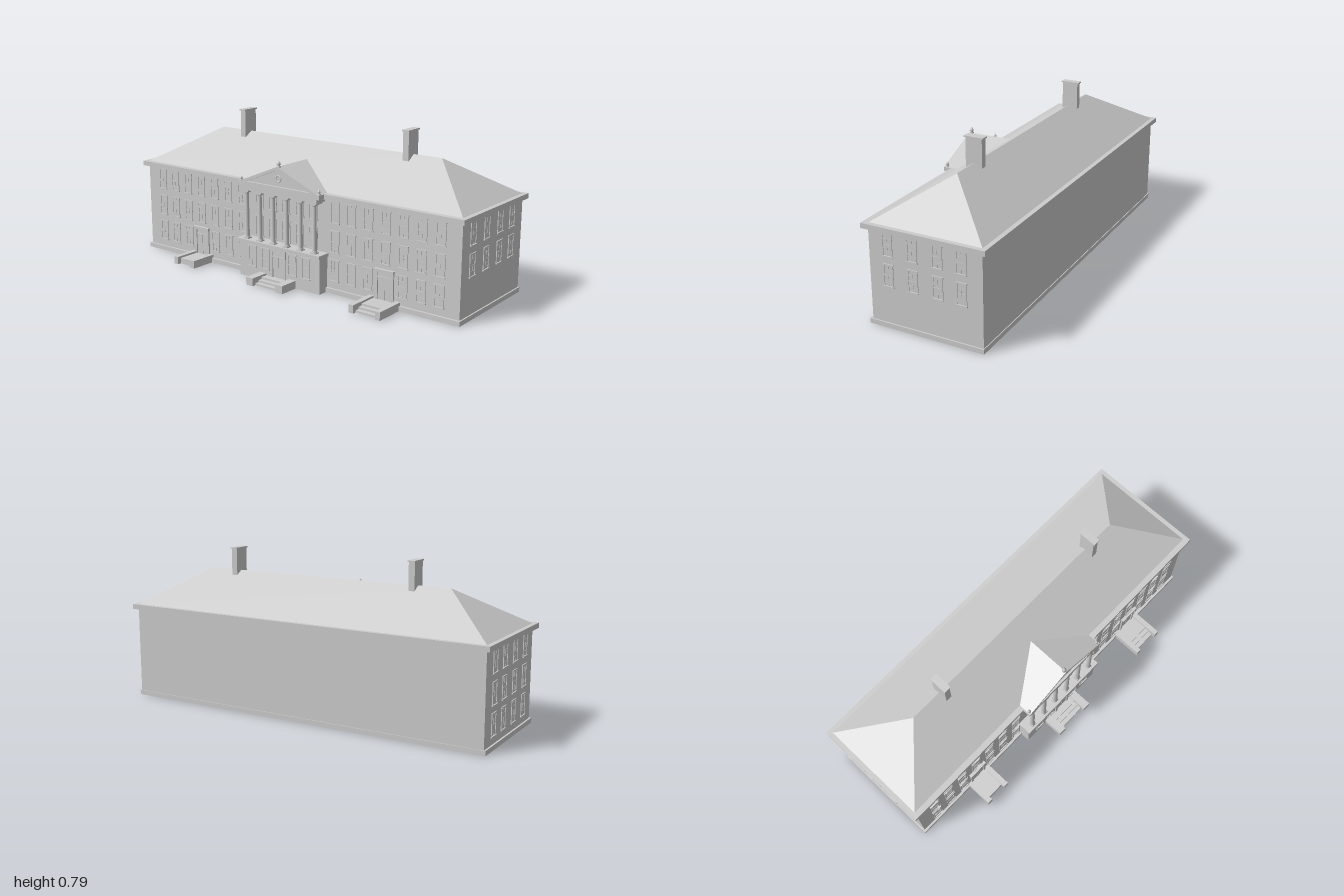
import * as THREE from 'three';

const material = new THREE.MeshStandardMaterial({ color: 0xcccccc, flatShading: true });
const smooth = new THREE.MeshStandardMaterial({ color: 0xcccccc });

function add(parent, name, geometry, mat = material) {
  const mesh = new THREE.Mesh(geometry, mat);
  mesh.name = name;
  parent.add(mesh);
  return mesh;
}

// Box given by its limits on each axis
function box(parent, name, x0, x1, y0, y1, z0, z1) {
  const mesh = add(parent, name, new THREE.BoxGeometry(x1 - x0, y1 - y0, z1 - z0));
  mesh.position.set((x0 + x1) / 2, (y0 + y1) / 2, (z0 + z1) / 2);
  return mesh;
}

function group(parent, name) {
  const g = new THREE.Group();
  g.name = name;
  parent.add(g);
  return g;
}

// Sash window facing +z, centred on its wall position
function addWindow(parent, x, y, z, turn = 0, w = 0.052, h = 0.112) {
  const g = group(parent, 'window');
  const a = w / 2, b = h / 2, t = 0.006;
  box(g, 'pane', -a, a, -b, b, -0.002, 0.001);
  for (const s of [-1, 1]) {
    box(g, 'jamb', s * (a - t / 2) - t / 2, s * (a - t / 2) + t / 2, -b, b, -0.002, 0.004);
  }
  box(g, 'lintel', -a - 0.002, a + 0.002, b - 0.007, b, -0.002, 0.005);
  box(g, 'sill', -a - 0.003, a + 0.003, -b, -b + 0.006, -0.002, 0.007);
  box(g, 'meetingRail', -a, a, -0.002, 0.002, -0.002, 0.003);
  box(g, 'muntin', -0.001, 0.001, -b, b, -0.002, 0.002);
  for (const s of [-0.5, 0.5]) box(g, 'glazingBar', -a, a, s * b - 0.001, s * b + 0.001, -0.002, 0.002);
  g.position.set(x, y, z);
  g.rotation.y = turn;
}

// Door with frame, panels and a flat hood
function addDoor(parent, x, z, w, y0, y1) {
  const g = group(parent, 'door');
  const a = w / 2, t = 0.012;
  box(g, 'doorLeaf', -a, a, y0, y1, -0.005, 0.002);
  for (const s of [-1, 1]) {
    box(g, 'doorJamb', s * (a - t / 2) - t / 2, s * (a - t / 2) + t / 2, y0, y1, -0.005, 0.008);
  }
  box(g, 'doorHead', -a, a, y1 - 0.016, y1 - 0.006, -0.005, 0.01);
  box(g, 'doorHood', -a - 0.004, a + 0.004, y1 - 0.006, y1, -0.005, 0.016);
  box(g, 'transom', -a, a, y1 - 0.044, y1 - 0.038, -0.005, 0.006);
  box(g, 'doorSplit', -0.002, 0.002, y0, y1 - 0.04, -0.005, 0.004);
  g.position.set(x, 0, z);
}

// Entrance steps between two low cheek walls
function addSteps(parent, x0, x1, cheek, back, front, treads) {
  const g = group(parent, 'entranceSteps');
  box(g, 'cheekWall', x0, x0 + cheek, 0, 0.04, back, front);
  box(g, 'cheekWall', x1 - cheek, x1, 0, 0.04, back, front);
  for (let i = 0; i < treads; i++) {
    box(g, 'tread', x0 + cheek, x1 - cheek, 0, 0.03 * (treads - i) / treads, back, front - 0.02 - 0.024 * (treads - 1 - i));
  }
}

function hipRoof() {
  const e = 0.49, r = 0.673;
  const A = [-0.98, e, 0.21], B = [0.98, e, 0.21], C = [0.98, e, -0.36], D = [-0.98, e, -0.36];
  const L = [-0.68, r, -0.075], R = [0.7, r, -0.075];
  const faces = [A, B, R, A, R, L, B, C, R, C, D, L, C, L, R, D, A, L];
  const g = new THREE.BufferGeometry();
  g.setAttribute('position', new THREE.Float32BufferAttribute(faces.flat(), 3));
  g.computeVertexNormals();
  return g;
}

function triangle(half, y0, y1, Type = THREE.Shape) {
  const s = new Type();
  s.moveTo(-half, y0);
  s.lineTo(half, y0);
  s.lineTo(0, y1);
  s.closePath();
  return s;
}

function lathe(points, segments = 16) {
  return new THREE.LatheGeometry(points.map(([r, y]) => new THREE.Vector2(r, y)), segments);
}

function addPortico(parent) {
  const p = group(parent, 'portico');
  const cx = -0.006;
  box(p, 'porticoBase', -0.262, 0.25, 0, 0.18, 0.2, 0.27);
  box(p, 'balconySlab', -0.27, 0.257, 0.18, 0.197, 0.2, 0.285);

  // Six columns with square plinths and capitals
  const shaft = lathe([[0.015, 0.2], [0.015, 0.208], [0.0115, 0.213], [0.0115, 0.3], [0.0095, 0.43], [0.0125, 0.434], [0.0135, 0.44]]);
  for (let i = 0; i < 6; i++) {
    const x = -0.22 + i * 0.0857;
    const column = group(p, 'column');
    add(column, 'columnShaft', shaft, smooth).position.set(x, 0, 0.258);
    box(column, 'columnPlinth', x - 0.015, x + 0.015, 0.197, 0.203, 0.243, 0.273);
    box(column, 'capital', x - 0.015, x + 0.015, 0.437, 0.443, 0.243, 0.273);
    box(column, 'abacus', x - 0.022, x + 0.022, 0.443, 0.452, 0.224, 0.273);
  }

  // Entablature and pediment
  box(p, 'architrave', -0.246, 0.234, 0.45, 0.472, 0.2, 0.273);
  box(p, 'cornice', -0.262, 0.25, 0.47, 0.492, 0.2, 0.277);
  const gable = new THREE.ExtrudeGeometry(triangle(0.256, 0.49, 0.597), { depth: 0.225, bevelEnabled: false });
  add(p, 'gableRoof', gable).position.set(cx, 0, 0.04);
  const rake = triangle(0.256, 0.49, 0.597);
  rake.holes.push(triangle(0.2, 0.497, 0.58, THREE.Path));
  add(p, 'rakingCornice', new THREE.ExtrudeGeometry(rake, { depth: 0.013, bevelEnabled: false })).position.set(cx, 0, 0.264);
  add(p, 'roundel', new THREE.TorusGeometry(0.015, 0.003, 8, 20), smooth).position.set(cx, 0.535, 0.266);

  // Finials at the apex and the two corners
  const finial = lathe([[0.012, 0], [0.012, 0.006], [0.007, 0.01], [0.011, 0.017], [0.008, 0.026], [0, 0.036]], 12);
  add(p, 'apexFinial', finial, smooth).position.set(cx, 0.591, 0.264);
  for (const s of [-1, 1]) {
    const m = add(p, 'cornerFinial', finial, smooth);
    m.scale.setScalar(0.75);
    m.position.set(cx + s * 0.245, 0.492, 0.263);
  }
}

export function createModel() {
  const house = new THREE.Group();
  house.name = 'house';

  // Main block
  box(house, 'walls', -0.978, 0.98, 0, 0.47, -0.358, 0.21);
  box(house, 'plinth', -0.987, 0.987, 0, 0.024, -0.362, 0.222);
  box(house, 'eaves', -1, 1, 0.467, 0.492, -0.38, 0.236);
  add(house, 'roof', hipRoof());

  // Chimneys
  for (const x of [-0.495, 0.53]) {
    box(house, 'chimney', x - 0.016, x + 0.016, 0.645, 0.787, -0.112, -0.028);
    box(house, 'chimneyCap', x - 0.019, x + 0.019, 0.786, 0.793, -0.119, -0.021);
  }

  addPortico(house);

  // Front windows: seven bays each side, a door in the middle bay
  const rows = [0.115, 0.258, 0.404];
  for (const s of [-1, 1]) {
    for (let i = 0; i < 7; i++) {
      const x = s * (0.295 + i * 0.0965);
      rows.forEach((y, r) => { if (r > 0 || i !== 3) addWindow(house, x, y, 0.21); });
    }
    addDoor(house, s * 0.585, 0.21, 0.1, 0.02, 0.182);
  }

  // Windows behind the columns and in the portico base
  for (let i = 0; i < 5; i++) {
    const x = -0.177 + i * 0.0857;
    addWindow(house, x, rows[1], 0.21);
    addWindow(house, x, rows[2], 0.21);
    if (i !== 2) addWindow(house, x, rows[0], 0.27);
  }
  addDoor(house, -0.006, 0.268, 0.095, 0.02, 0.18);

  // Side windows: two rows on the left side, three on the right
  for (const z of [0.114, -0.012, -0.138, -0.255]) {
    rows.forEach((y, r) => {
      if (r > 0) addWindow(house, 0.98, y, z, Math.PI / 2);
      addWindow(house, -0.978, y, z, -Math.PI / 2);
    });
  }

  // Steps
  addSteps(house, -0.128, 0.102, 0.042, 0.26, 0.376, 3);
  addSteps(house, -0.656, -0.51, 0.028, 0.2, 0.356, 1);
  addSteps(house, 0.497, 0.67, 0.026, 0.2, 0.376, 3);
  return house;
}
